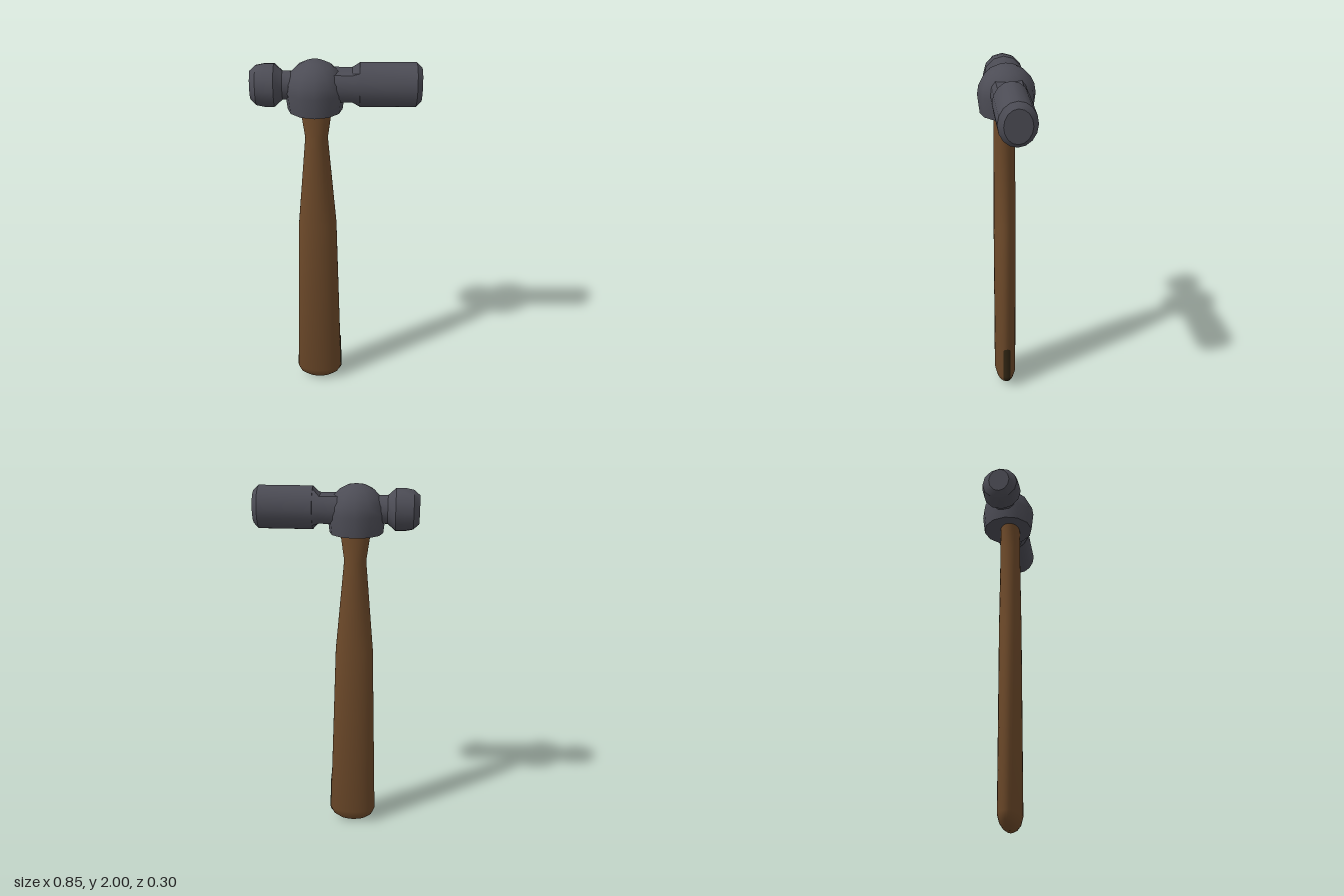
import * as THREE from 'three';
import { toCreasedNormals } from 'three/addons/utils/BufferGeometryUtils.js';

const wood = new THREE.MeshStandardMaterial({ color: 0x6e4a2a });
wood.name = 'wood';
const steel = new THREE.MeshStandardMaterial({ color: 0x4c4c55 });
steel.name = 'steel';
const darkWood = new THREE.MeshStandardMaterial({ color: 0x2f2412, side: THREE.DoubleSide });
darkWood.name = 'dark wood';

// Closed loft along y; each section is [y, halfX, halfZ, optional limit on x]
function loft(sections, sides, crease) {
  const pos = [], index = [];
  for (const [y, a, b, limit = Infinity] of sections) {
    for (let i = 0; i < sides; i++) {
      const t = (i / sides) * Math.PI * 2;
      pos.push(THREE.MathUtils.clamp(a * Math.cos(t), -limit, limit), y, b * Math.sin(t));
    }
  }
  const last = sections.length - 1, bottom = pos.length / 3, top = bottom + 1;
  pos.push(0, sections[0][0], 0, 0, sections[last][0], 0);
  for (let i = 0; i < sides; i++) {
    const n = (i + 1) % sides;
    for (let s = 0; s < last; s++) {
      const p = s * sides, q = p + sides;
      index.push(p + i, q + i, p + n, p + n, q + i, q + n);
    }
    index.push(bottom, i, n, top, last * sides + n, last * sides + i);
  }
  const geometry = new THREE.BufferGeometry();
  geometry.setAttribute('position', new THREE.Float32BufferAttribute(pos, 3));
  geometry.setIndex(index);
  return toCreasedNormals(geometry, crease);
}

function add(group, name, geometry, material, x, y, z) {
  const mesh = new THREE.Mesh(geometry, material);
  mesh.name = name;
  mesh.position.set(x, y, z);
  group.add(mesh);
  return mesh;
}

// Handle sections: height, half width, half depth
const handleSections = [
  [0, 0.03, 0.015], [0.015, 0.078, 0.036], [0.04, 0.113, 0.053], [0.08, 0.131, 0.063],
  [1.1, 0.102, 0.061], [1.6, 0.058, 0.056], [1.75, 0.079, 0.055], [1.84, 0.085, 0.054],
];

// Half width and half depth of the handle at height y
function handleSize(y) {
  let k = 1;
  while (handleSections[k][0] < y) k++;
  const p = handleSections[k - 1], q = handleSections[k], f = (y - p[0]) / (q[0] - p[0]);
  return [p[1] + (q[1] - p[1]) * f, p[2] + (q[2] - p[2]) * f];
}

// Round-ended patch that follows the curved edge of the handle
function patchGeometry() {
  const rows = 30, cols = 6, half = 0.022, low = 0.05, high = 0.3;
  const geometry = new THREE.PlaneGeometry(1, 1, cols, rows);
  const pos = geometry.attributes.position;
  for (let i = 0; i < pos.count; i++) {
    const v = pos.getY(i) + 0.5;
    const y = low + (high - low) * (0.5 - 0.5 * Math.cos(Math.PI * v));
    const end = Math.max(0, low + half - y, y - high + half);
    const z = -pos.getX(i) * 2 * Math.sqrt(Math.max(0, half * half - end * end));
    const [a, b] = handleSize(y);
    pos.setXYZ(i, a * Math.sqrt(Math.max(0, 1 - (z / b) ** 2)) + 0.004, y, z);
  }
  geometry.computeVertexNormals();
  return geometry;
}

export function createModel() {
  const hammer = new THREE.Group();
  hammer.name = 'hammer';

  // Handle and its dark patch
  add(hammer, 'handle', loft(handleSections, 32, 0.9), wood, -0.1, 0, 0.012);
  add(hammer, 'handlePatch', patchGeometry(), darkWood, -0.1, 0, 0.012);

  // Domed eye of the head
  const profile = [new THREE.Vector2(0, 1.75), new THREE.Vector2(0.138, 1.75)];
  for (let i = 0; i <= 5; i++) {
    const t = (i / 5) * Math.PI / 2;
    profile.push(new THREE.Vector2(i === 5 ? 0 : 0.15 * Math.cos(t), 1.85 + 0.15 * Math.sin(t)));
  }
  const eye = toCreasedNormals(new THREE.LatheGeometry(profile, 12), 0.6);
  add(hammer, 'headEye', eye, steel, -0.105, 0, 0);

  // Ball end with its neck
  const ball = loft([
    [-0.425, 0.073, 0.057], [-0.395, 0.1, 0.097], [-0.35, 0.109, 0.106],
    [-0.305, 0.109, 0.106], [-0.265, 0.073, 0.068], [-0.12, 0.07, 0.066],
  ], 12, 0.6).rotateZ(-Math.PI / 2);
  add(hammer, 'ballEnd', ball, steel, 0, 1.872, -0.005);

  // Striking end: neck flattened above and below, then a bevelled barrel
  const barrel = loft([
    [-0.08, 0.11, 0.093, 0.07], [0.08, 0.11, 0.093, 0.068], [0.115, 0.11, 0.093, 0.1],
    [0.116, 0.111, 0.095], [0.395, 0.111, 0.095], [0.422, 0.085, 0.068],
  ], 16, 0.6).rotateZ(-Math.PI / 2);
  add(hammer, 'strikingEnd', barrel, steel, 0, 1.875, -0.002);

  return hammer;
}
